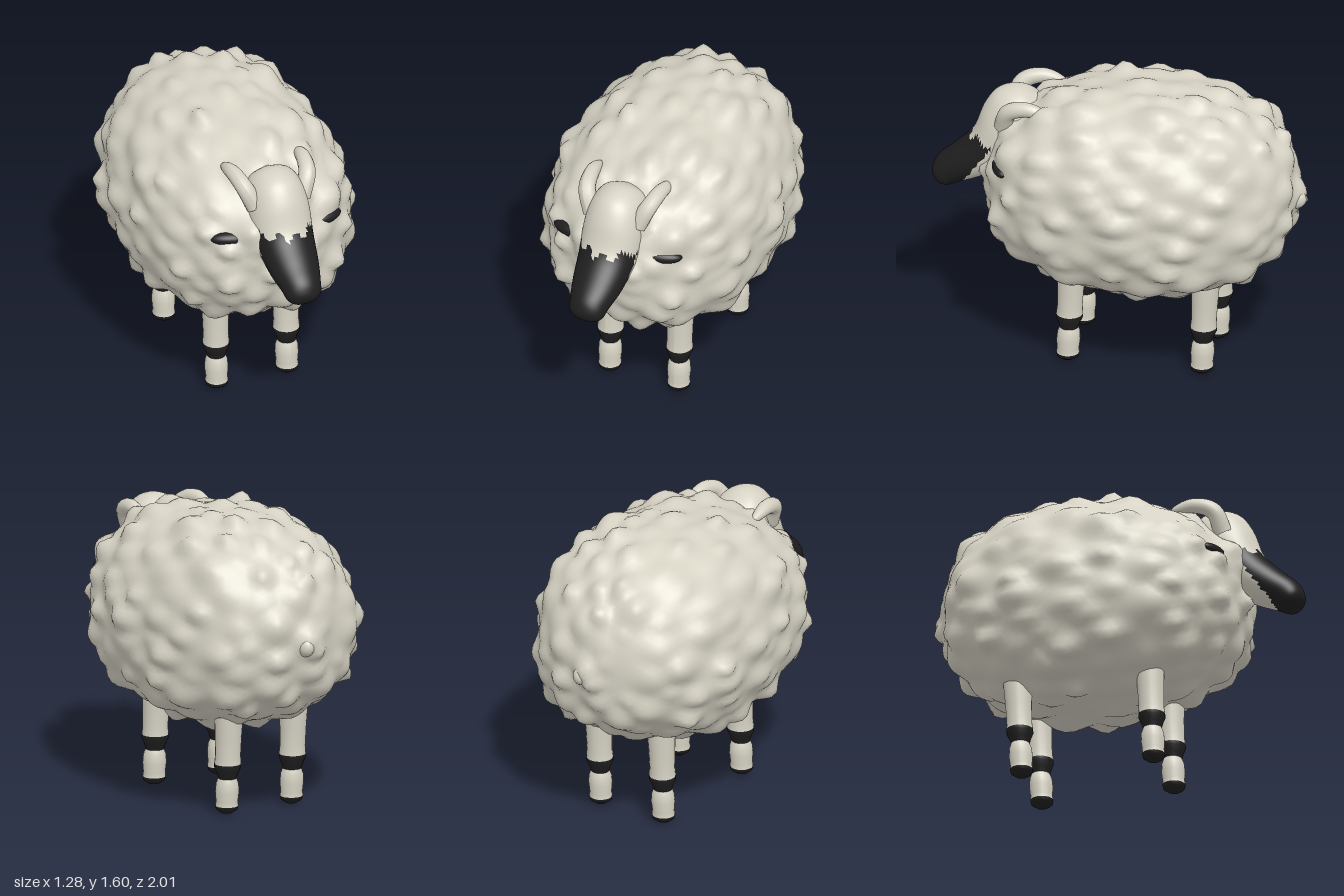
import * as THREE from 'three';
import { mergeVertices } from 'three/addons/utils/BufferGeometryUtils.js';

const cream = new THREE.MeshStandardMaterial({ color: 0xd6d2c4 });
cream.name = 'creamWool';
const black = new THREE.MeshStandardMaterial({ color: 0x1f1f1f });
black.name = 'blackFace';

function mesh(name, geometry, material) {
  const m = new THREE.Mesh(geometry, material);
  m.name = name;
  return m;
}

// Splits an indexed geometry into cream (0) and black (1) faces by face centre
function paint(geo, isBlack) {
  const pos = geo.attributes.position, idx = geo.index.array, lists = [[], []];
  const c = new THREE.Vector3(), v = new THREE.Vector3();
  for (let i = 0; i < idx.length; i += 3) {
    c.set(0, 0, 0);
    for (let k = 0; k < 3; k++) c.add(v.fromBufferAttribute(pos, idx[i + k]));
    c.divideScalar(3);
    lists[isBlack(c) ? 1 : 0].push(idx[i], idx[i + 1], idx[i + 2]);
  }
  geo.setIndex([...lists[0], ...lists[1]]);
  geo.clearGroups();
  geo.addGroup(0, lists[0].length, 0);
  geo.addGroup(lists[0].length, lists[1].length, 1);
  return geo;
}

// Fleece: a rounded superellipsoid with seeded tufts
function fleece() {
  let seed = 11;
  const rnd = () => (seed = (seed * 16807) % 2147483647) / 2147483647;
  const tufts = [];
  const count = 190;
  for (let i = 0; i < count; i++) {
    const y = THREE.MathUtils.clamp(1 - (2 * (i + 0.5)) / count + (rnd() - 0.5) * 0.06, -1, 1);
    const a = i * 2.39996 + (rnd() - 0.5) * 0.25;
    const r = Math.sqrt(1 - y * y);
    tufts.push({
      dir: new THREE.Vector3(r * Math.cos(a), y, r * Math.sin(a)),
      height: 0.015 + 0.055 * rnd(),
      width: 0.08 + 0.07 * rnd(),
    });
  }
  let geo = new THREE.IcosahedronGeometry(1, 22);
  geo.deleteAttribute('uv');
  geo.deleteAttribute('normal');
  geo = mergeVertices(geo, 1e-4);
  const pos = geo.attributes.position, d = new THREE.Vector3(), n = new THREE.Vector3();
  const power = 2.3;
  for (let i = 0; i < pos.count; i++) {
    d.fromBufferAttribute(pos, i).normalize();
    let bump = 0;
    for (const t of tufts) {
      const dist = d.distanceTo(t.dir) / t.width;
      if (dist < 3) bump = Math.max(bump, t.height * Math.exp(-dist * dist));
    }
    const k = Math.pow(Math.abs(d.x) ** power + Math.abs(d.y) ** power + Math.abs(d.z) ** power, -1 / power);
    n.set(d.x / 0.59, d.y / 0.56, d.z / 0.82).normalize().multiplyScalar(bump - 0.008);
    const x = d.x * k * 0.59 * (1 - 0.06 * d.y) + n.x;
    const z = d.z * k * 0.82 - 0.12 + n.z;
    const y = 1 + d.y * k * 0.56 + n.y - 0.06 * z * Math.max(0, d.y);
    pos.setXYZ(i, x, y, z);
  }
  geo.computeVertexNormals();
  return geo;
}

// Head: oval sections along an axis sloping 45 degrees down and forward
function headGeometry() {
  // distance along axis, underside, top, half width
  const sections = [
    [-0.71, 1.32, 1.32, 0], [-0.67, 1.2, 1.43, 0.11], [-0.57, 1.14, 1.495, 0.155],
    [-0.45, 1.13, 1.48, 0.165], [-0.3, 1.15, 1.415, 0.155], [-0.15, 1.19, 1.412, 0.135],
    [-0.04, 1.235, 1.418, 0.108], [0.02, 1.258, 1.4, 0.092], [0.05, 1.285, 1.372, 0.055],
    [0.06, 1.33, 1.33, 0],
  ];
  const along = new THREE.CatmullRomCurve3(sections.map((s) => new THREE.Vector3(s[0], 0, 0)), false, 'catmullrom');
  const shape = new THREE.CatmullRomCurve3(sections.map((s) => new THREE.Vector3(s[1], s[2], s[3])), false, 'catmullrom');
  const rings = 54, sides = 44, h = Math.SQRT1_2, verts = [], index = [];
  for (let i = 0; i <= rings; i++) {
    const t = along.getPoint(i / rings).x, q = shape.getPoint(i / rings);
    for (let j = 0; j < sides; j++) {
      const a = (j / sides) * Math.PI * 2;
      const s = (q.x + q.y) / 2 + ((q.y - q.x) / 2) * Math.sin(a);
      verts.push(q.z * Math.cos(a), h * (s - t), h * (s + t));
      if (i === rings) continue;
      const b = i * sides + j, c = i * sides + ((j + 1) % sides);
      index.push(b, c, b + sides, c, c + sides, b + sides);
    }
  }
  const geo = new THREE.BufferGeometry();
  geo.setAttribute('position', new THREE.Float32BufferAttribute(verts, 3));
  geo.setIndex(index);
  geo.computeVertexNormals();
  // dark muzzle, leaving the jaw and forehead pale
  return paint(geo, (c) => {
    const t = h * (c.z - c.y), s = h * (c.z + c.y);
    const edge = 1.2 + 0.02 * Math.sin(c.x * 70);
    return c.y < edge && t + 5.5 * (s - 1.25) + 0.09 > 0;
  });
}

// Horn: a curved tube, tapered and rounded at the tip
function hornGeometry(side) {
  const path = new THREE.CatmullRomCurve3([
    [0.13, 1.31, 0.6], [0.18, 1.42, 0.56], [0.2, 1.455, 0.46], [0.207, 1.43, 0.33],
  ].map(([x, y, z]) => new THREE.Vector3(x * side, y, z)));
  const segs = 24, sides = 14;
  const geo = new THREE.TubeGeometry(path, segs, 0.05, sides);
  const pos = geo.attributes.position, v = new THREE.Vector3();
  for (let i = 0; i <= segs; i++) {
    const u = i / segs, centre = path.getPointAt(u);
    const k = Math.sqrt(1 - u ** 5) * (1 - 0.25 * u);
    for (let j = 0; j <= sides; j++) {
      const n = i * (sides + 1) + j;
      v.fromBufferAttribute(pos, n).sub(centre).multiplyScalar(k).add(centre);
      pos.setXYZ(n, v.x, v.y, v.z);
    }
  }
  geo.computeVertexNormals();
  return geo;
}

// Leg pieces: lathed profiles that lean back slightly towards the top
function legPart(name, profile, material) {
  const geo = new THREE.LatheGeometry(profile.map(([r, y]) => new THREE.Vector2(r, y)), 20);
  const pos = geo.attributes.position;
  for (let i = 0; i < pos.count; i++) pos.setZ(i, pos.getZ(i) - 0.04 * pos.getY(i));
  geo.computeVertexNormals();
  return mesh(name, geo, material);
}

function leg(name, x, z) {
  const g = new THREE.Group();
  g.name = name;
  g.add(
    legPart('hoof', [[0, 0], [0.03, 0.006], [0.057, 0.025], [0.061, 0.045]], black),
    legPart('shin', [[0.061, 0.045], [0.058, 0.07], [0.063, 0.12], [0.06, 0.165], [0.049, 0.195]], cream),
    legPart('ankleBand', [[0.049, 0.195], [0.058, 0.225], [0.071, 0.255], [0.071, 0.275]], black),
    legPart('thigh', [[0.071, 0.275], [0.067, 0.32], [0.07, 0.42], [0.077, 0.55], [0.08, 0.68]], cream),
  );
  g.position.set(x, 0, z);
  return g;
}

export function createModel() {
  const model = new THREE.Group();
  model.name = 'sheep';
  model.add(mesh('fleece', fleece(), cream));
  model.add(mesh('head', headGeometry(), [cream, black]));

  // Mirrored parts
  for (const side of [1, -1]) {
    const label = side > 0 ? 'left' : 'right';
    model.add(mesh(label + 'Horn', hornGeometry(side), cream));

    const earGeo = new THREE.SphereGeometry(1, 28, 20);
    earGeo.scale(0.105, 0.036, 0.045);
    paint(earGeo, (c) => c.z > -0.012);
    const ear = mesh(label + 'Ear', earGeo, [cream, black]);
    ear.position.set(0.27 * side, 1.14, 0.585);
    ear.rotation.y = 0.3 * side;
    model.add(ear);

    model.add(leg(label + 'FrontLeg', 0.2 * side, 0.24));
    model.add(leg(label + 'BackLeg', 0.2 * side, -0.48));
  }

  // Short tail
  const tail = mesh('tail', new THREE.SphereGeometry(1, 16, 12), cream);
  tail.scale.set(0.045, 0.055, 0.06);
  tail.position.set(0, 0.98, -0.94);
  model.add(tail);
  return model;
}
